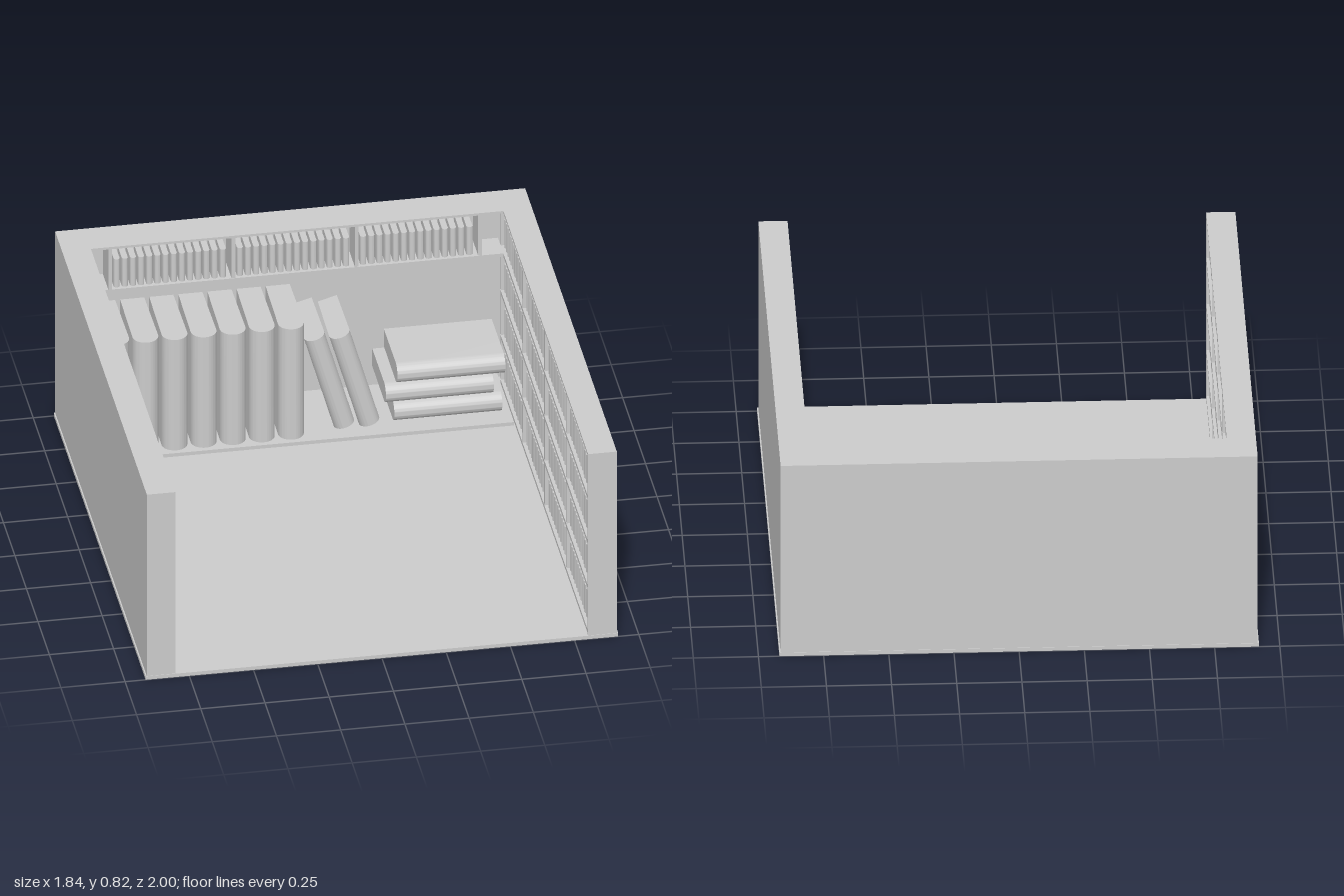
import * as THREE from 'three';
import { mergeGeometries, toCreasedNormals } from 'three/addons/utils/BufferGeometryUtils.js';

const grey = new THREE.MeshStandardMaterial({ color: 0xcccccc });
const ROW = 0.2, BOARD = 0.015, TOP = 0.825;

function add(parent, name, geometry) {
  const mesh = new THREE.Mesh(geometry, grey);
  mesh.name = name;
  parent.add(mesh);
  return mesh;
}

// Box given by its minimum and maximum corners
function slab(parent, name, x0, x1, y0, y1, z0, z1) {
  const mesh = add(parent, name, new THREE.BoxGeometry(x1 - x0, y1 - y0, z1 - z0));
  mesh.position.set((x0 + x1) / 2, (y0 + y1) / 2, (z0 + z1) / 2);
  return mesh;
}

// Upright book: round spine touching z = 0, pages running back, standing on y = 0
function bookGeometry(thickness, height, depth, segments) {
  const r = thickness / 2;
  const outline = new THREE.Shape();
  outline.moveTo(r, r);
  outline.lineTo(r * 0.94, depth);
  outline.lineTo(-r * 0.94, depth);
  outline.lineTo(-r, r);
  outline.absarc(0, r, r, Math.PI, Math.PI * 2, false);
  const geometry = new THREE.ExtrudeGeometry(outline, { depth: height, bevelEnabled: false, curveSegments: segments });
  geometry.rotateX(-Math.PI / 2);
  return toCreasedNormals(geometry, 0.7);
}

// Grid of open cells filled with small books; its front lies on z = 0 and faces +z
function bookcase(name, columns, rows, pitch, y0, depth) {
  const group = new THREE.Group();
  group.name = name;
  const width = columns * pitch;
  const count = 14, step = 0.0318;
  const smallBook = bookGeometry(0.024, 0.125, depth - 0.015, 6);
  for (let i = 0; i <= columns; i++) {
    const x = -width / 2 + i * pitch;
    slab(group, 'divider', x - BOARD / 2, x + BOARD / 2, y0, TOP - 0.01, -depth, -0.002);
  }
  for (let row = 0; row < rows; row++) {
    const y = y0 + row * ROW;
    slab(group, 'shelf', -width / 2, width / 2, y, y + BOARD, -depth, 0);
    for (let col = 0; col < columns; col++) {
      const books = [];
      for (let k = 0; k < count; k++) {
        const x = -width / 2 + (col + 0.5) * pitch + (k - (count - 1) / 2) * step - 0.005;
        books.push(smallBook.clone().translate(x, y + BOARD, -0.012));
      }
      add(group, 'smallBooks', mergeGeometries(books));
    }
  }
  return group;
}

export function createModel() {
  const model = new THREE.Group();
  model.name = 'libraryRoom';

  // Floor and low platform at the back
  slab(model, 'floor', -0.92, 0.92, 0, 0.015, -1, 1);
  slab(model, 'platform', -0.8, 0.8, 0.015, 0.03, -0.965, -0.595);

  // Side walls: thin outer panel, top cap and a bookcase facing inwards
  for (const side of [-1, 1]) {
    const wall = new THREE.Group();
    wall.name = side > 0 ? 'leftWall' : 'rightWall';
    const span = (a, b) => (side > 0 ? [a, b] : [-b, -a]);
    slab(wall, 'outerPanel', ...span(0.885, 0.915), 0.015, TOP, -0.998, 0.998);
    slab(wall, 'topCap', ...span(0.803, 0.885), TOP - 0.01, TOP, -0.998, 0.998);
    slab(wall, 'frontEnd', ...span(0.803, 0.885), 0.015, TOP - 0.01, 0.985, 0.998);
    const shelves = bookcase('sideBookcase', 4, 4, 0.476, 0.02, 0.082);
    shelves.rotation.y = -side * Math.PI / 2;
    shelves.position.set(side * 0.803, 0, 0.038);
    wall.add(shelves);
    model.add(wall);
  }

  // Back wall: one row of shelves above a deep open niche
  const back = new THREE.Group();
  back.name = 'backWall';
  slab(back, 'outerPanel', -0.885, 0.885, 0.015, TOP, -0.998, -0.965);
  slab(back, 'topCap', -0.803, 0.803, TOP - 0.01, TOP, -0.965, -0.845);
  slab(back, 'longShelf', -0.803, 0.803, 0.62, 0.635, -0.965, -0.846);
  const topRow = bookcase('backBookcase', 3, 1, 0.48, 0.62, 0.12);
  topRow.position.set(-0.0075, 0, -0.845);
  back.add(topRow);
  model.add(back);

  // Seven large upright books
  const largeBook = bookGeometry(0.1, 0.493, 0.335, 16);
  for (let i = 0; i < 7; i++) {
    add(model, 'uprightBook', largeBook).position.set(-0.737 + i * 0.1133, 0.03, -0.615);
  }

  // Two books leaning against them
  const mediumBook = bookGeometry(0.082, 0.42, 0.3, 16);
  mediumBook.translate(0, -0.21, 0);
  for (const x of [0.095, 0.193]) {
    const book = add(model, 'leaningBook', mediumBook);
    book.position.set(x, 0.245, -0.645);
    book.rotation.z = 0.28;
  }

  // Three books lying in a stack
  [0.553, 0.52, 0.565].forEach((x, i) => {
    const book = add(model, 'stackedBook', mediumBook);
    book.position.set(x, 0.081 + i * 0.084, -0.645);
    book.rotation.z = Math.PI / 2;
  });

  return model;
}
